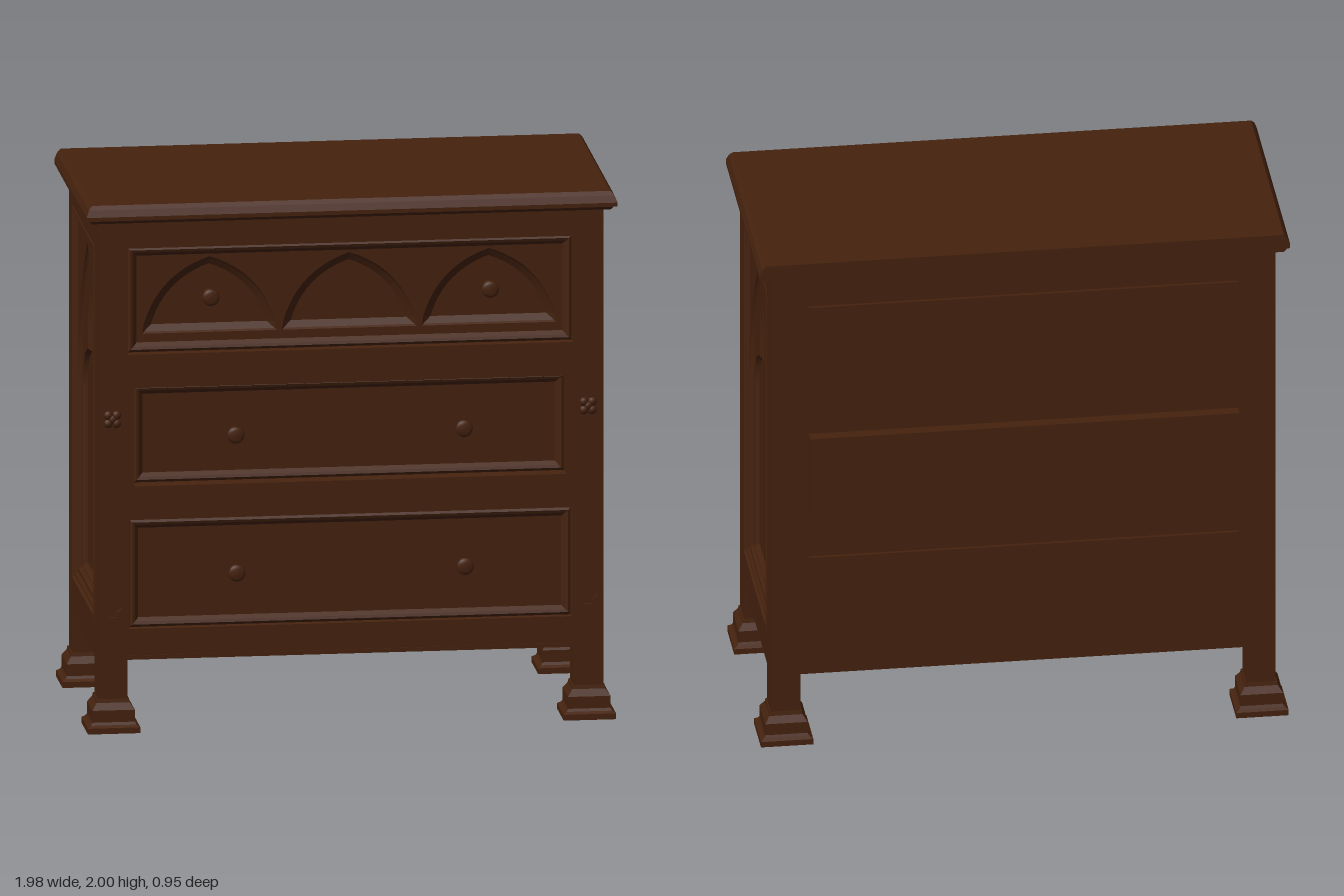
import * as THREE from 'three';
import { mergeGeometries } from 'three/addons/utils/BufferGeometryUtils.js';

const V = (x, y) => new THREE.Vector2(x, y);

// counter-clockwise rectangle
const rect = (x0, y0, x1, y1) => [V(x0, y0), V(x1, y0), V(x1, y1), V(x0, y1)];

// moves every edge of a counter-clockwise outline inwards by d
function inset(pts, d) {
  const n = pts.length;
  const normal = (a, b) => V(a.y - b.y, b.x - a.x).normalize();
  return pts.map((p, i) => {
    const n1 = normal(pts[(i + n - 1) % n], p), n2 = normal(p, pts[(i + 1) % n]);
    return n1.clone().add(n2).multiplyScalar(d / Math.max(0.4, 1 + n1.dot(n2))).add(p);
  });
}

// flat face with holes at depth z
function face(outline, holes, z) {
  const shape = new THREE.Shape(outline);
  holes.forEach(h => shape.holes.push(new THREE.Path(h)));
  const g = new THREE.ShapeGeometry(shape).toNonIndexed().translate(0, 0, z);
  g.deleteAttribute('uv');
  return g;
}

// strip of quads joining two outlines with the same point count
function bevel(a, za, b, zb) {
  const pos = [];
  a.forEach((p, i) => {
    const j = (i + 1) % a.length, q = a[j], r = b[j], s = b[i];
    pos.push(p.x, p.y, za, q.x, q.y, za, r.x, r.y, zb, p.x, p.y, za, r.x, r.y, zb, s.x, s.y, zb);
  });
  const g = new THREE.BufferGeometry();
  g.setAttribute('position', new THREE.Float32BufferAttribute(pos, 3));
  g.computeVertexNormals();
  return g;
}

// chain of bevels: each step is [inset, depth]
function moulding(outline, steps) {
  const parts = [];
  for (let i = 1; i < steps.length; i++) {
    const [d0, z0] = steps[i - 1], [d1, z1] = steps[i];
    parts.push(bevel(inset(outline, d0), z0, inset(outline, d1), z1));
  }
  return parts;
}

// symmetric outline from the base, up the right side to the apex, down the left
function mirrored(right, cx = 0) {
  const left = right.slice(0, -1).reverse().map(p => V(-p.x, p.y));
  return [...right, ...left].map(p => V(p.x + cx, p.y));
}
const curve = (a, c, b, n = 12) => new THREE.QuadraticBezierCurve(a, c, b).getPoints(n);

export function createModel() {
  const model = new THREE.Group();
  const wood = new THREE.MeshStandardMaterial({ color: 0x45220e });
  wood.name = 'dark walnut';

  const add = (name, geometry, parent = model) => {
    const m = new THREE.Mesh(geometry, wood);
    m.name = name;
    parent.add(m);
    return m;
  };
  const box = (name, x0, x1, y0, y1, z0, z1) => add(name,
    new THREE.BoxGeometry(x1 - x0, y1 - y0, z1 - z0)
      .translate((x0 + x1) / 2, (y0 + y1) / 2, (z0 + z1) / 2));

  // carcass behind the carved skins
  box('carcass', -0.89, 0.89, 0.28, 1.93, -0.43, 0.355);
  box('bottomBoard', -0.935, 0.935, 0.27, 0.29, -0.425, 0.425);
  box('frontBead', -0.83, 0.83, 0.27, 0.285, 0.4, 0.434);

  // table top with a moulded edge on three sides
  const plan = (w, d) => rect(-w, -d, w, 0.475);
  const edge = [[0.965, 0.45, 1.93], [0.975, 0.46, 1.942], [0.988, 0.474, 1.945],
    [0.988, 0.474, 1.96], [0.978, 0.462, 1.985], [0.965, 0.45, 2]];
  const topParts = [face(plan(0.965, 0.45), [], 2)];
  for (let i = 1; i < edge.length; i++) {
    const [w0, d0, y0] = edge[i - 1], [w1, d1, y1] = edge[i];
    topParts.push(bevel(plan(w0, d0), y0, plan(w1, d1), y1));
  }
  add('top', mergeGeometries(topParts).rotateX(-Math.PI / 2));
  box('topUnderside', -0.965, 0.965, 1.93, 1.95, -0.475, 0.45);

  // corner posts and stepped feet
  const footProfile = [[0, 0], [0.0975, 0], [0.0975, 0.022], [0.085, 0.03], [0.079, 0.04],
    [0.079, 0.085], [0.062, 0.11], [0.06, 0.123], [0.054, 0.123]];
  const foot = new THREE.LatheGeometry(
    footProfile.map(([h, y]) => V(h * Math.SQRT2, y)), 4, Math.PI / 4).toNonIndexed();
  foot.computeVertexNormals();

  const groove = mirrored([V(0.014, 0.43), V(0.018, 0.45), V(0.033, 0.465), V(0.033, 1.82),
    V(0.018, 1.835), V(0.014, 1.855), V(0, 1.865)]);
  const grooveShape = new THREE.Shape(rect(-0.055, 0.11, 0.055, 1.93));
  grooveShape.holes.push(new THREE.Path(groove));
  const postSkin = new THREE.ExtrudeGeometry(grooveShape, { depth: 0.015, bevelEnabled: false });

  for (const s of [-1, 1]) {
    const x = 0.885 * s;
    box('backPost', x - 0.055, x + 0.055, 0.11, 1.93, -0.43, -0.32);
    box('frontPost', x - 0.055, x + 0.055, 0.11, 1.93, 0.32, 0.415);
    add('carvedPostFace', postSkin).position.set(x, 0, 0.415);
    for (const z of [-0.375, 0.375]) add('foot', foot).position.set(x, 0, z);

    // small rosette halfway up the groove
    const rosette = new THREE.Group();
    rosette.name = 'rosette';
    rosette.position.set(x, 1.18, 0.418);
    for (let i = 0; i < 5; i++) {
      const a = i * Math.PI / 2 + Math.PI / 4, r = i < 4 ? 0.022 : 0;
      const petal = add('petal', new THREE.SphereGeometry(0.017, 12, 8), rosette);
      petal.position.set(r * Math.cos(a), r * Math.sin(a), 0);
      petal.scale.z = 0.7;
    }
    model.add(rosette);
  }

  // drawers: opening, panel depth, knob position, knob tip, back box
  const drawers = [
    { open: rect(-0.825, 0.385, 0.825, 0.8), z: 0.4, knob: [0.425, 0.59], tip: 0.46, back: [0.44, 0.76, -0.443] },
    { open: rect(-0.805, 0.925, 0.805, 1.3), z: 0.365, knob: [0.425, 1.105], tip: 0.425, back: [0.95, 1.27, -0.475] },
    { open: rect(-0.83, 1.425, 0.83, 1.83), z: 0.39, knob: [0.52, 1.635], tip: 0.445, back: [1.48, 1.8, -0.443] },
  ];
  const knob = new THREE.LatheGeometry([[0.022, -0.07], [0.022, -0.055], [0.012, -0.048],
    [0.012, -0.026], [0.026, -0.021], [0.032, -0.013], [0.029, -0.005], [0.018, -0.001], [0, 0]]
    .map(p => V(...p)), 24).rotateX(Math.PI / 2);

  // pointed arches carved into the top drawer
  const archRight = [V(0.25, 1.495), ...curve(V(0.245, 1.53), V(0.19, 1.72), V(0, 1.782))];
  const arches = [-0.52, 0, 0.52].map(cx => mirrored(archRight, cx));

  add('frontFrame', face(rect(-0.83, 0.27, 0.83, 1.93),
    drawers.map(d => inset(d.open, 0.001)), 0.43));
  drawers.forEach((d, i) => {
    const parts = moulding(d.open, [[0, 0.43], [0.004, d.z + 0.012], [0.014, d.z + 0.018],
      [0.024, d.z + 0.014], [0.038, d.z]]);
    const carved = i === 2 ? arches : [];
    parts.push(face(inset(d.open, 0.038), carved, d.z));
    for (const a of carved) {
      parts.push(...moulding(a, [[0, d.z], [0.006, d.z - 0.008], [0.03, d.z - 0.024]]));
      parts.push(face(inset(a, 0.03), [], d.z - 0.024));
    }
    add('drawerFront', mergeGeometries(parts));
    for (const s of [-1, 1]) add('knob', knob).position.set(s * d.knob[0], d.knob[1], d.tip);
    box('drawerBack', -0.8, 0.8, d.back[0], d.back[1], d.back[2], -0.42);
  });

  // side panels: rectangular moulding, lancet arch, then a cusped arch inside it
  const opening = rect(-0.32, 0.4, 0.32, 1.82);
  const lancet = mirrored([V(0.262, 0.457), ...curve(V(0.262, 1.2), V(0.25, 1.53), V(0, 1.757), 16)]);
  const cusped = mirrored([V(0.23, 0.475), ...curve(V(0.23, 1.17), V(0.222, 1.29), V(0.092, 1.33)),
    ...curve(V(0.09, 1.42), V(0.08, 1.58), V(0, 1.72))]);
  const side = mergeGeometries([
    face(rect(-0.32, 0.27, 0.32, 0.4), [], 0.94),
    face(rect(-0.32, 1.82, 0.32, 1.93), [], 0.94),
    ...moulding(opening, [[0, 0.94], [0.004, 0.943], [0.014, 0.943], [0.022, 0.934],
      [0.03, 0.934], [0.042, 0.925]]),
    face(inset(opening, 0.042), [lancet], 0.925),
    ...moulding(lancet, [[0, 0.925], [0.005, 0.918], [0.014, 0.912]]),
    face(inset(lancet, 0.014), [cusped], 0.912),
    ...moulding(cusped, [[0, 0.912], [0.005, 0.905], [0.014, 0.896]]),
    face(inset(cusped, 0.014), [], 0.896),
  ]);
  for (const s of [-1, 1]) add('sidePanel', side).rotation.y = s * Math.PI / 2;

  return model;
}
